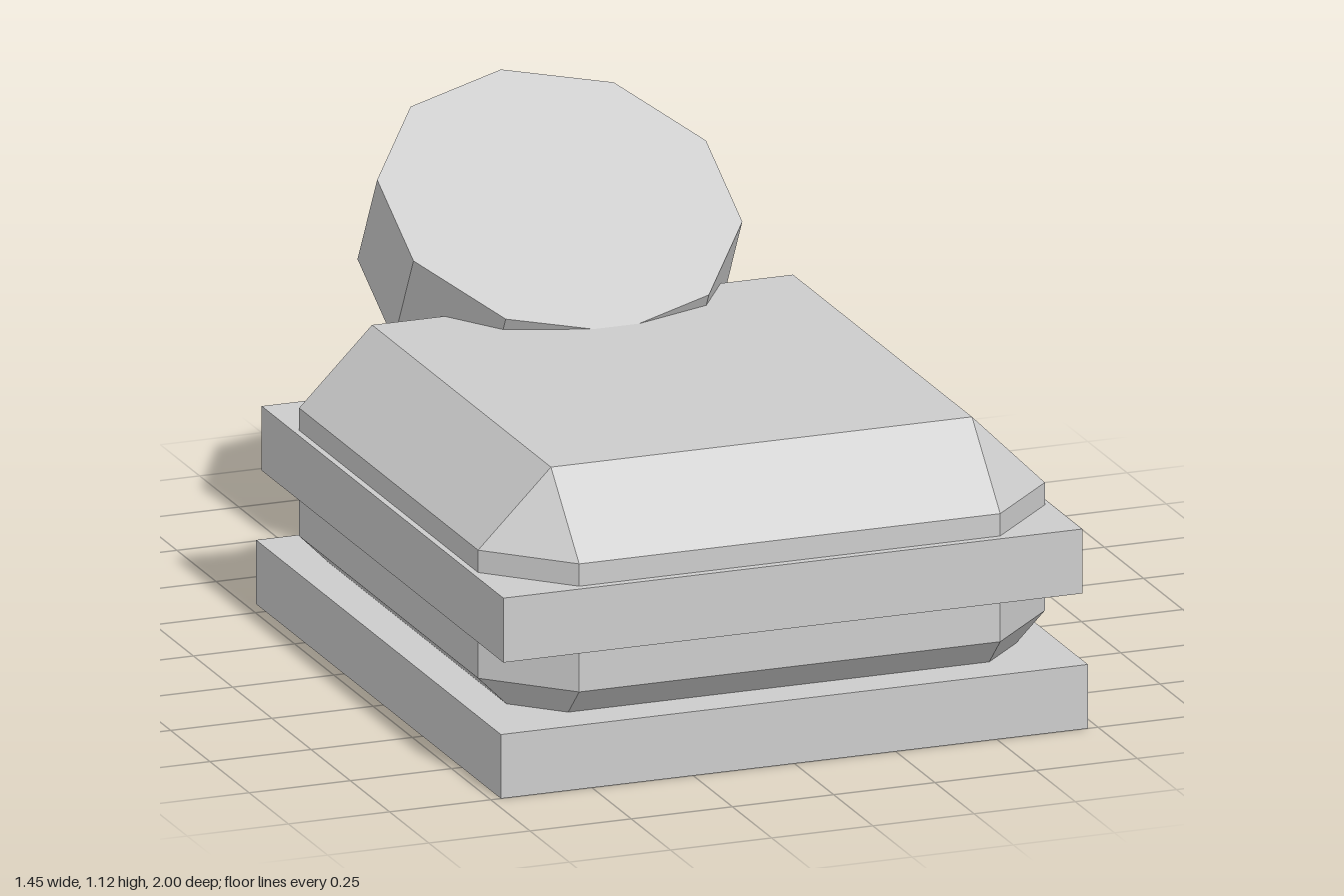
import * as THREE from 'three';
import { ConvexGeometry } from 'three/addons/geometries/ConvexGeometry.js';

export function createModel() {
  const model = new THREE.Group();
  model.name = 'case';
  const grey = new THREE.MeshStandardMaterial({ color: 0xcccccc, flatShading: true });
  grey.name = 'light grey';

  const add = (name, geometry, x, y, z) => {
    const mesh = new THREE.Mesh(geometry, grey);
    mesh.name = name;
    mesh.position.set(x, y, z);
    model.add(mesh);
    return mesh;
  };

  const midZ = 0.22; // centre of the case, forward of the tilted disc

  // Flat slab underneath
  add('base', new THREE.BoxGeometry(1.45, 0.155, 1.56), 0, 0.0775, midZ);

  // Body: a box with every edge cut at 45 degrees
  add('body', chamferedBox(0.7, 0.335, 0.75, 0.18), 0, 0.38, midZ);

  // Belt around the body
  add('belt', new THREE.BoxGeometry(1.43, 0.156, 1.54), 0, 0.403, midZ);

  // Catch at the middle of the back
  add('rearCatch', new THREE.BoxGeometry(0.275, 0.23, 0.1), 0, 0.405, -0.547);

  // Ten-sided disc leaning out over the back
  const disc = add('tiltedDisc', new THREE.CylinderGeometry(0.427, 0.427, 0.262, 10), 0, 0.796, -0.558);
  disc.rotation.x = 0.5;

  return model;
}

// Half sizes hx, hy, hz with a 45 degree cut c on all edges and corners
function chamferedBox(hx, hy, hz, c) {
  const points = [];
  for (const sx of [-1, 1]) for (const sy of [-1, 1]) for (const sz of [-1, 1]) {
    points.push(
      new THREE.Vector3(sx * hx, sy * (hy - c), sz * (hz - c)),
      new THREE.Vector3(sx * (hx - c), sy * hy, sz * (hz - c)),
      new THREE.Vector3(sx * (hx - c), sy * (hy - c), sz * hz)
    );
  }
  return new ConvexGeometry(points);
}
